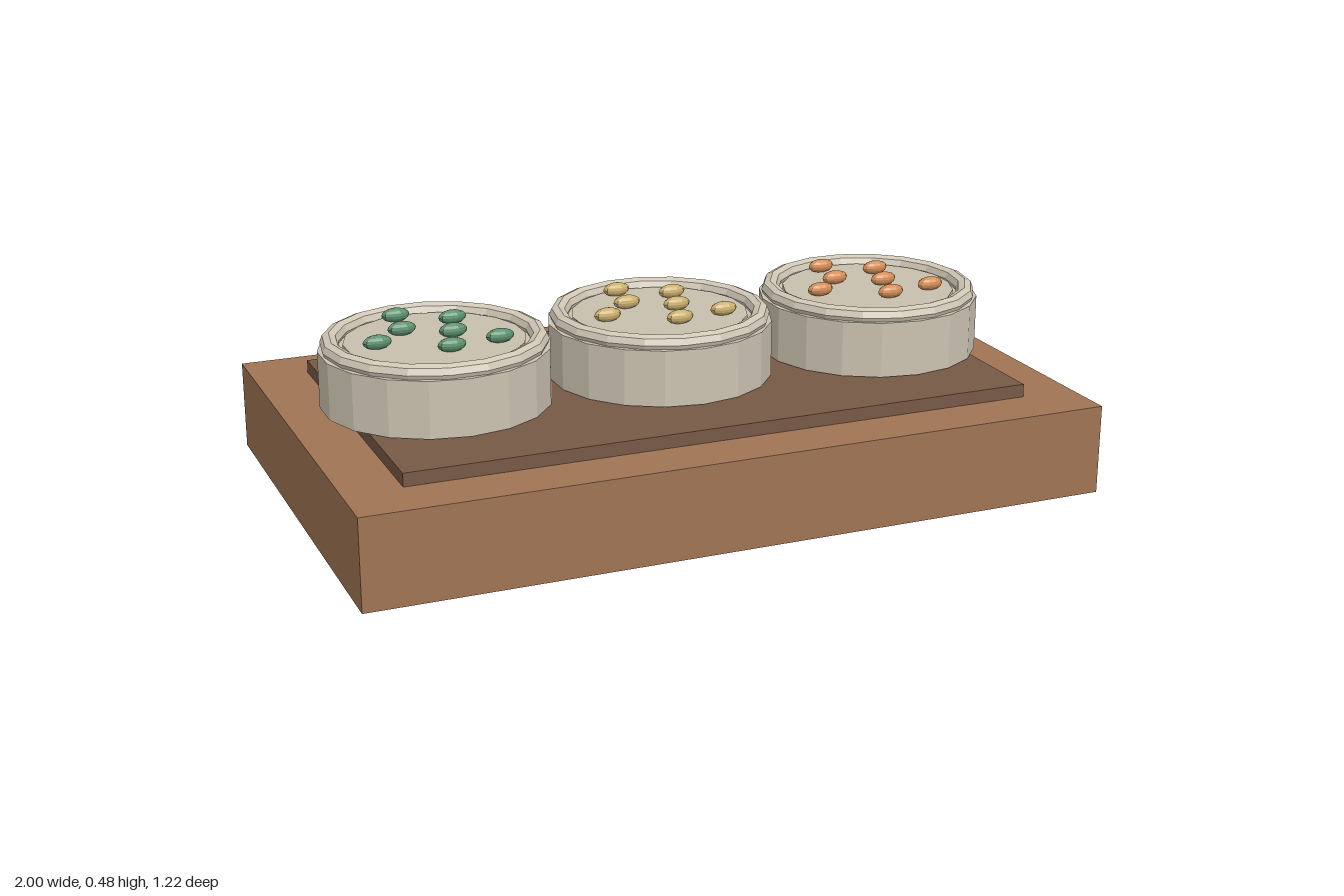
import * as THREE from 'three';

const paint = (color) => new THREE.MeshStandardMaterial({ color, flatShading: true });

function addPart(parent, name, geometry, material, x = 0, y = 0, z = 0) {
  const mesh = new THREE.Mesh(geometry, material);
  mesh.name = name;
  mesh.position.set(x, y, z);
  parent.add(mesh);
  return mesh;
}

export function createModel() {
  const model = new THREE.Group();
  model.name = 'seedTray';

  // Wooden base with a darker inlay on top
  addPart(model, 'base', new THREE.BoxGeometry(2, 0.24, 1.22), paint(0xa07453), 0, 0.12, 0);
  addPart(model, 'inlay', new THREE.BoxGeometry(1.7, 0.035, 0.93), paint(0x775946), 0, 0.2575, 0);

  // Shared shapes for the three pots
  const bodyShape = new THREE.CylinderGeometry(0.3, 0.3, 0.15, 18);
  const rimShape = new THREE.TorusGeometry(0.27, 0.024, 8, 18).rotateX(Math.PI / 2);
  const fillShape = new THREE.CylinderGeometry(0.235, 0.235, 0.015, 18);
  const seedShape = new THREE.SphereGeometry(1, 10, 8).scale(0.038, 0.019, 0.019);
  const clay = paint(0xcbc2b0);
  const rimClay = paint(0xd0c7b6);
  const fillClay = paint(0xc8bfac);

  // Seed positions (x, z) measured from the pot centre
  const seedSpots = [
    [-0.05, -0.187], [0.083, -0.114], [-0.068, -0.065], [0.05, -0.002],
    [-0.158, 0.025], [0.146, 0.09], [0.01, 0.116],
  ];

  // Three pots in a row, each with its own seed colour
  const pots = [['right', 0x5a8f6c], ['middle', 0xc9ae6c], ['left', 0xd28c54]];
  pots.forEach(([side, color], i) => {
    const pot = new THREE.Group();
    pot.name = `${side}Pot`;
    pot.position.x = (i - 1) * 0.623;
    addPart(pot, 'potBody', bodyShape, clay, 0, 0.355, 0);
    addPart(pot, 'potRim', rimShape, rimClay, 0, 0.441, 0);
    addPart(pot, 'potFilling', fillShape, fillClay, 0, 0.4375, 0);
    const seedPaint = paint(color);
    seedSpots.forEach(([x, z]) => addPart(pot, 'seed', seedShape, seedPaint, x, 0.462, z));
    model.add(pot);
  });

  return model;
}
